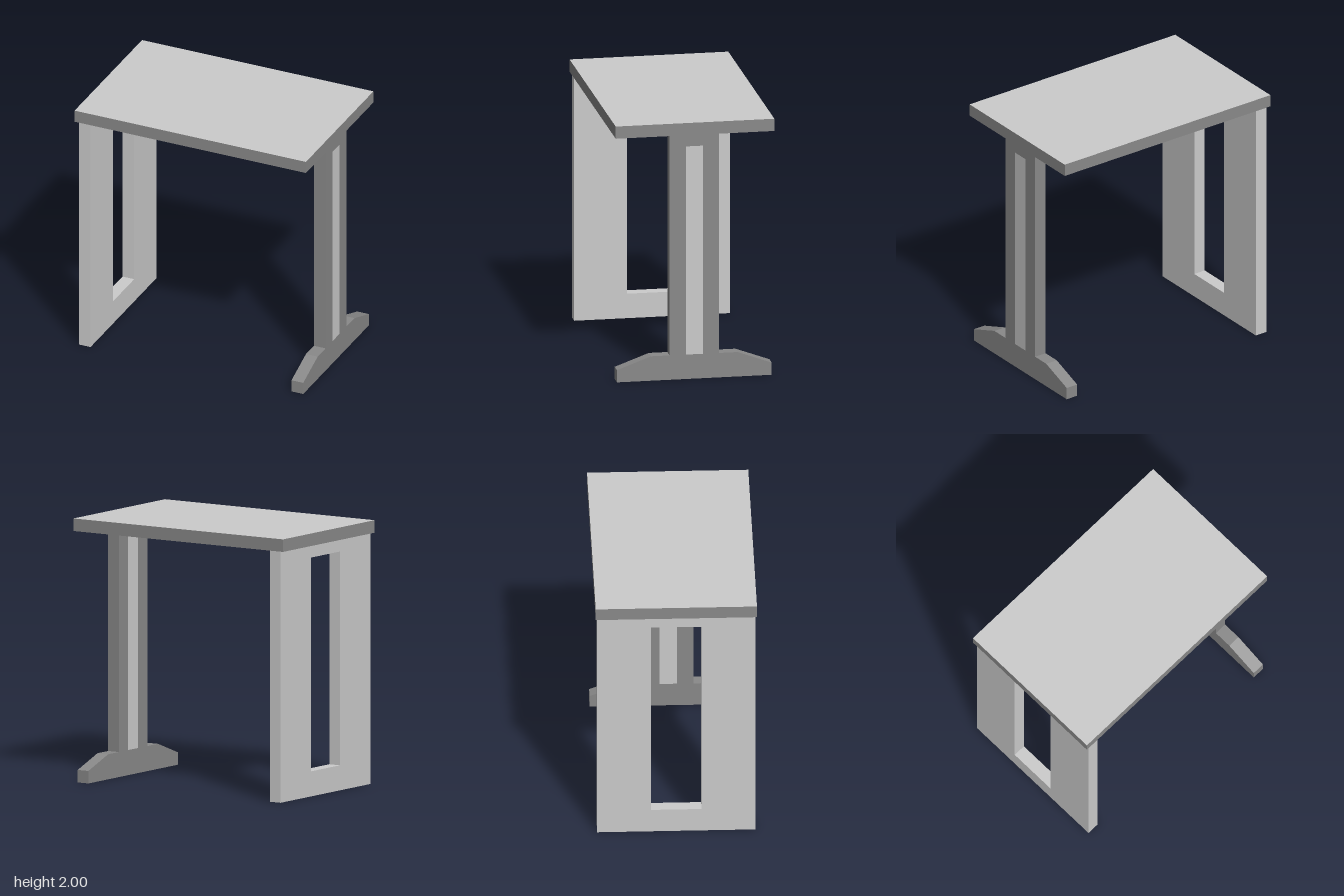
import * as THREE from 'three';

const light = new THREE.MeshStandardMaterial({ color: 0xcccccc });
const dark = new THREE.MeshStandardMaterial({ color: 0x898989 });

const LEG_X = 0.877, THICK = 0.097, LEG_TOP = 1.905;
const SLOT_BOTTOM = 0.19, SLOT_TOP = 1.81;

const points = (list) => list.map(([z, y]) => new THREE.Vector2(z, y));

// Extrude a side profile (z, y), with an optional slot, centred on the given x
function sideSlab(name, outline, slotHalf, x, material) {
  const shape = new THREE.Shape(points(outline));
  shape.holes.push(new THREE.Path(points([
    [-slotHalf, SLOT_BOTTOM], [-slotHalf, SLOT_TOP], [slotHalf, SLOT_TOP], [slotHalf, SLOT_BOTTOM],
  ])));
  const geometry = new THREE.ExtrudeGeometry(shape, { depth: THICK, bevelEnabled: false });
  geometry.translate(0, 0, -THICK / 2);
  geometry.rotateY(-Math.PI / 2);
  const mesh = new THREE.Mesh(geometry, material);
  mesh.name = name;
  mesh.position.x = x;
  return mesh;
}

export function createModel() {
  const desk = new THREE.Group();
  desk.name = 'desk';

  // Tabletop: light faces above and below, dark edge banding
  const top = new THREE.Mesh(
    new THREE.BoxGeometry(1.91, 2 - LEG_TOP, 1.21),
    [dark, dark, light, light, dark, dark],
  );
  top.name = 'tabletop';
  top.position.y = (2 + LEG_TOP) / 2;
  desk.add(top);

  // Full-depth side panel with an open slot
  const panel = [[-0.593, 0], [0.593, 0], [0.593, LEG_TOP], [-0.593, LEG_TOP]];
  desk.add(sideSlab('sidePanel', panel, 0.19, -LEG_X, light));

  // Post on a tapered foot
  const half = [[0.59, 0], [0.59, 0.095], [0.33, 0.19], [0.188, 0.19], [0.188, LEG_TOP]];
  const post = [...half, ...half.map(([z, y]) => [-z, y]).reverse()];
  desk.add(sideSlab('postLeg', post, 0.065, LEG_X, dark));

  // Light strip filling the slot of the post, flush on both sides
  const strip = new THREE.Mesh(
    new THREE.BoxGeometry(THICK, SLOT_TOP - SLOT_BOTTOM, 0.13),
    light,
  );
  strip.name = 'postInlay';
  strip.position.set(LEG_X, (SLOT_TOP + SLOT_BOTTOM) / 2, 0);
  desk.add(strip);

  return desk;
}
